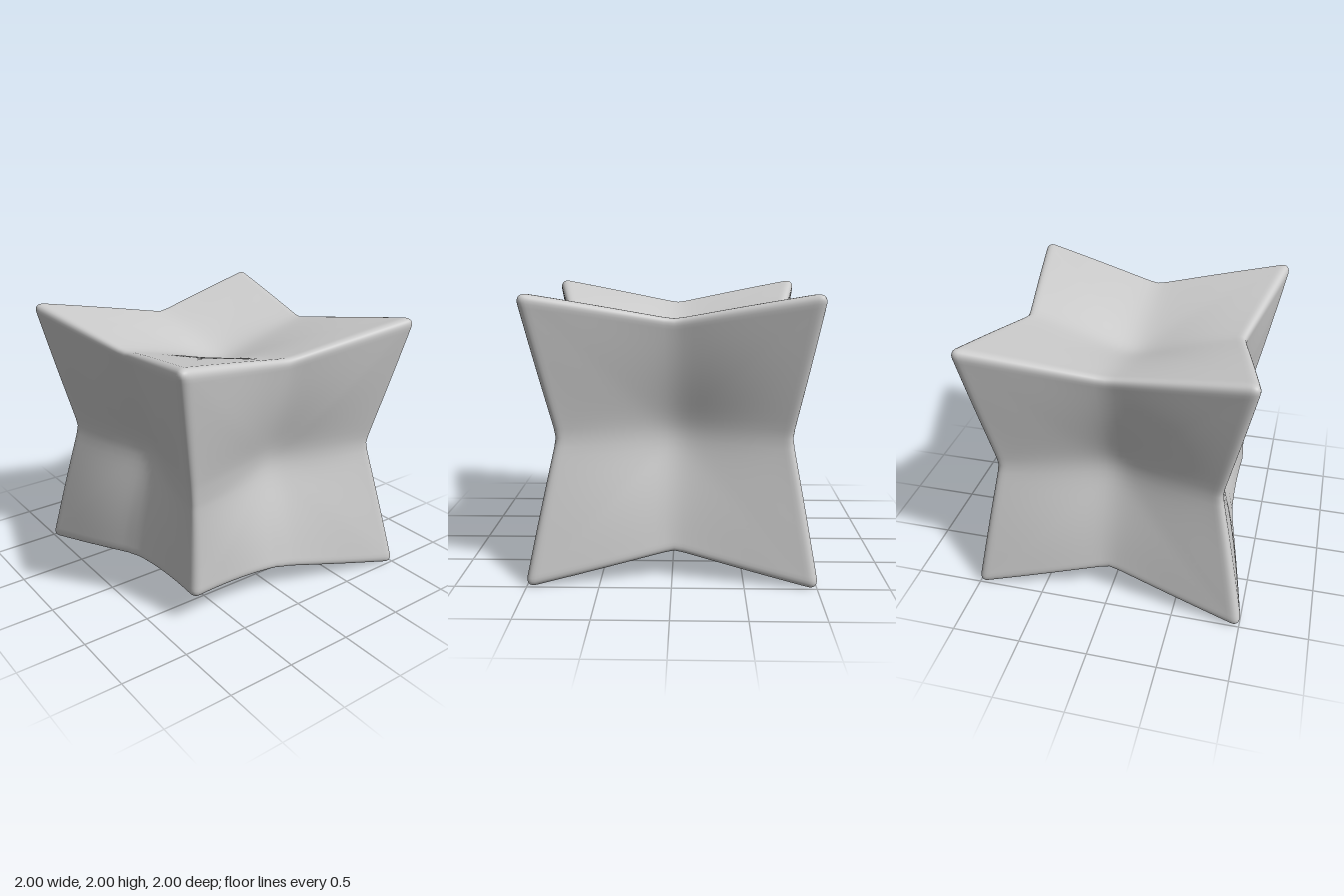
import * as THREE from 'three';
import { mergeVertices } from 'three/addons/utils/BufferGeometryUtils.js';

const SEGMENTS = 48;     // even, so a grid line runs along every edge middle
const ROUND = 0.08;      // edge rounding
const EDGE_DROP = 0.195; // how far edge middles sink; face centres sink twice that
const DENT = 0.235;      // how far the one blunt corner is pushed in
const SIZE = 1.031;      // makes up for the rounded tips

// 1 at the middle, 0 at the ends; soft widens the crease and hollows the slope
function tent(u, soft) {
  const e = 0.01 + 0.15 * soft;
  const s = (Math.hypot(u, e) - e) / (Math.hypot(1, e) - e);
  return Math.pow(Math.max(0, 1 - s), 1 + 0.4 * soft);
}

// Dent weight along one axis, fading to nothing at the middle
function fade(u) {
  return u > 0 ? u * (1.3 - 0.3 * u) : 0;
}

// Rounds the cube, then pinches it into an eight-pointed star
function shapePoint(p) {
  // crowd the grid towards the edges
  for (let i = 0; i < 3; i++) p.setComponent(i, Math.sin(p.getComponent(i) * Math.PI / 2));
  const k = 1 - ROUND;
  const inner = p.clone().clampScalar(-k, k);
  p.sub(inner).setLength(ROUND).add(inner);

  // creases are sharp along the edges and soft on the faces
  const [qx, qy, qz] = p.toArray().map((u) => 1 - u * u);
  const soft = Math.min(1, qx * qy + qy * qz + qz * qx);
  const [ax, ay, az] = p.toArray().map((u) => tent(u, soft));

  // blunt corner at the lower front, fading out over its octant
  const dent = DENT * fade(p.x) * fade(-p.y) * fade(p.z);
  const shift = dent + 0.015 * Math.max(ax, ay, az);
  p.set(
    p.x * (1 - EDGE_DROP * (ay + az)) - shift,
    p.y * (1 - EDGE_DROP * (ax + az)) + shift,
    p.z * (1 - EDGE_DROP * (ax + ay)) - shift
  ).multiplyScalar(SIZE);
  p.y += 1;
}

export function createModel() {
  const group = new THREE.Group();
  group.name = 'starCube';

  let geometry = new THREE.BoxGeometry(2, 2, 2, SEGMENTS, SEGMENTS, SEGMENTS);
  geometry.deleteAttribute('normal');
  geometry.deleteAttribute('uv');
  geometry = mergeVertices(geometry, 1e-5);

  const position = geometry.attributes.position;
  const p = new THREE.Vector3();
  for (let i = 0; i < position.count; i++) {
    p.fromBufferAttribute(position, i);
    shapePoint(p);
    position.setXYZ(i, p.x, p.y, p.z);
  }
  geometry.computeVertexNormals();

  const body = new THREE.Mesh(geometry, new THREE.MeshStandardMaterial({ color: 0xcccccc }));
  body.name = 'pinchedStarBody';
  group.add(body);
  return group;
}
